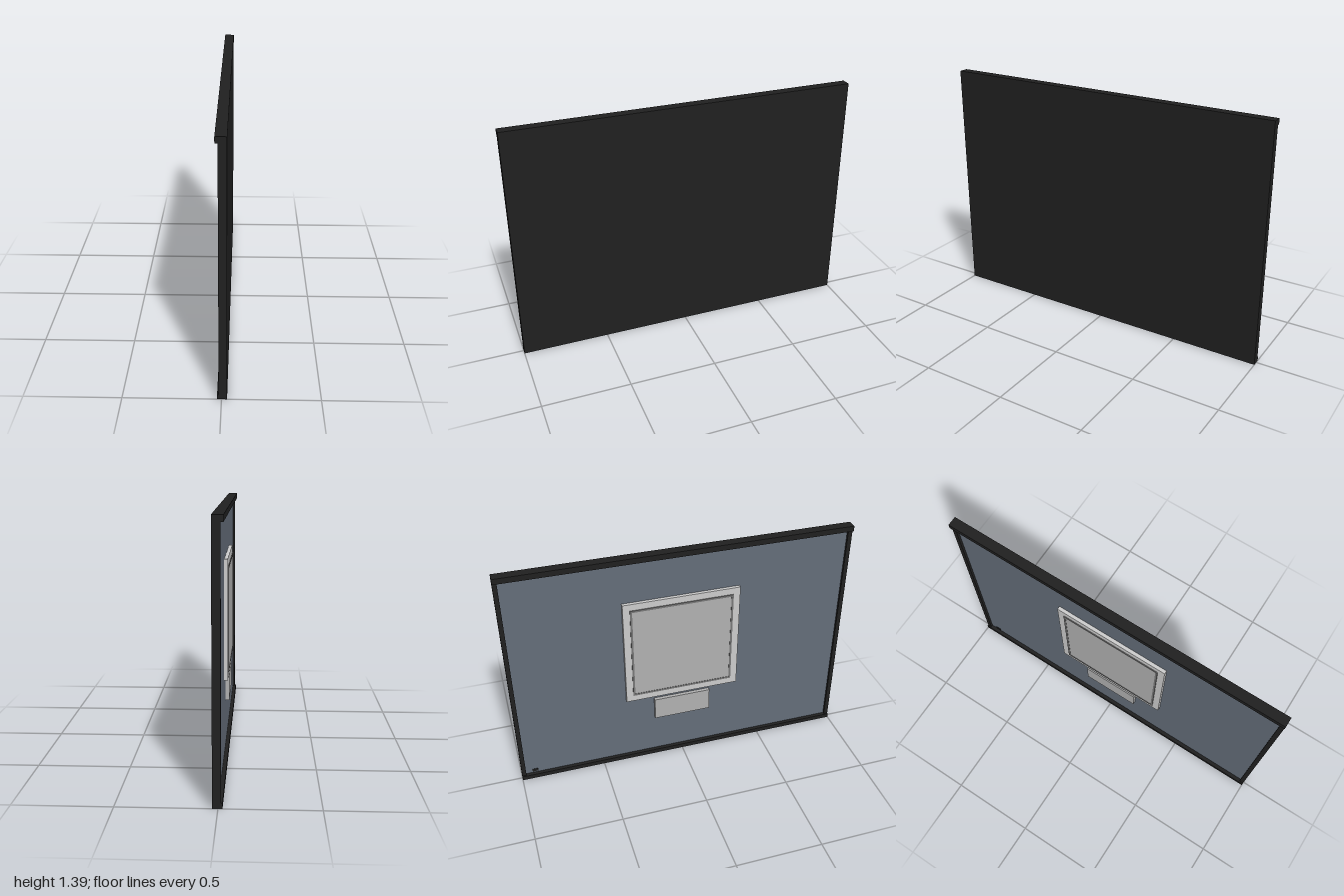
import * as THREE from 'three';

const material = (color) => new THREE.MeshStandardMaterial({ color });

export function createModel() {
  const model = new THREE.Group();
  const black = material(0x202020);
  const slate = material(0x646d79);
  const grey = material(0xb0b0b0);
  const paleGrey = material(0xcccccc);
  const darkGrey = material(0x777777);

  // Box given by its low and high limits on each axis
  function box(name, mat, [x0, x1], [y0, y1], [z0, z1], parent = model) {
    const mesh = new THREE.Mesh(new THREE.BoxGeometry(x1 - x0, y1 - y0, z1 - z0), mat);
    mesh.name = name;
    mesh.position.set((x0 + x1) / 2, (y0 + y1) / 2, (z0 + z1) / 2);
    parent.add(mesh);
    return mesh;
  }

  // Rectangular ring in the z-y plane, between two x depths
  function ring(name, mat, [x0, x1], [y0, y1], halfWidth, border, parent) {
    const rect = (target, inset) => {
      const w = halfWidth - inset, a = y0 + inset, b = y1 - inset;
      target.moveTo(-w, a).lineTo(w, a).lineTo(w, b).lineTo(-w, b).closePath();
      return target;
    };
    const shape = rect(new THREE.Shape(), 0);
    shape.holes.push(rect(new THREE.Path(), border));
    const geometry = new THREE.ExtrudeGeometry(shape, { depth: x1 - x0, bevelEnabled: false });
    geometry.rotateY(-Math.PI / 2).translate(x1, 0, 0);
    const mesh = new THREE.Mesh(geometry, mat);
    mesh.name = name;
    parent.add(mesh);
  }

  // Wall slab, its recessed face and surrounding trim
  box('wallSlab', black, [0.004, 0.028], [0.027, 1.36], [-1, 1]);
  box('wallFace', slate, [0, 0.004], [0.027, 1.36], [-0.975, 0.975]);
  for (const side of [-1, 1]) {
    const limits = side < 0 ? [-1, -0.975] : [0.975, 1];
    box(side < 0 ? 'backEdgeTrim' : 'frontEdgeTrim', black, [-0.014, 0.004], [0.027, 1.36], limits);
  }
  box('topLedge', black, [-0.028, 0.028], [1.36, 1.392], [-1, 1]);
  box('bottomLip', black, [-0.022, 0.028], [0.002, 0.027], [-1, 1]);
  box('underside', slate, [-0.022, 0.028], [0, 0.002], [-1, 1]);

  // Framed panel: stepped frame around a flat centre
  const picture = new THREE.Group();
  picture.name = 'framedPanel';
  model.add(picture);
  ring('outerFrame', paleGrey, [-0.02, 0], [0.445, 1.11], 0.34, 0.04, picture);
  ring('innerFrame', darkGrey, [-0.025, 0], [0.485, 1.07], 0.3, 0.012, picture);
  box('panelCentre', grey, [-0.023, 0], [0.497, 1.058], [-0.288, 0.288], picture);

  // Small plates on the wall face
  box('captionPlate', grey, [-0.021, 0], [0.28, 0.42], [-0.17, 0.17]);
  box('cornerTag', black, [-0.003, 0], [0.036, 0.054], [-0.935, -0.9]);

  return model;
}
